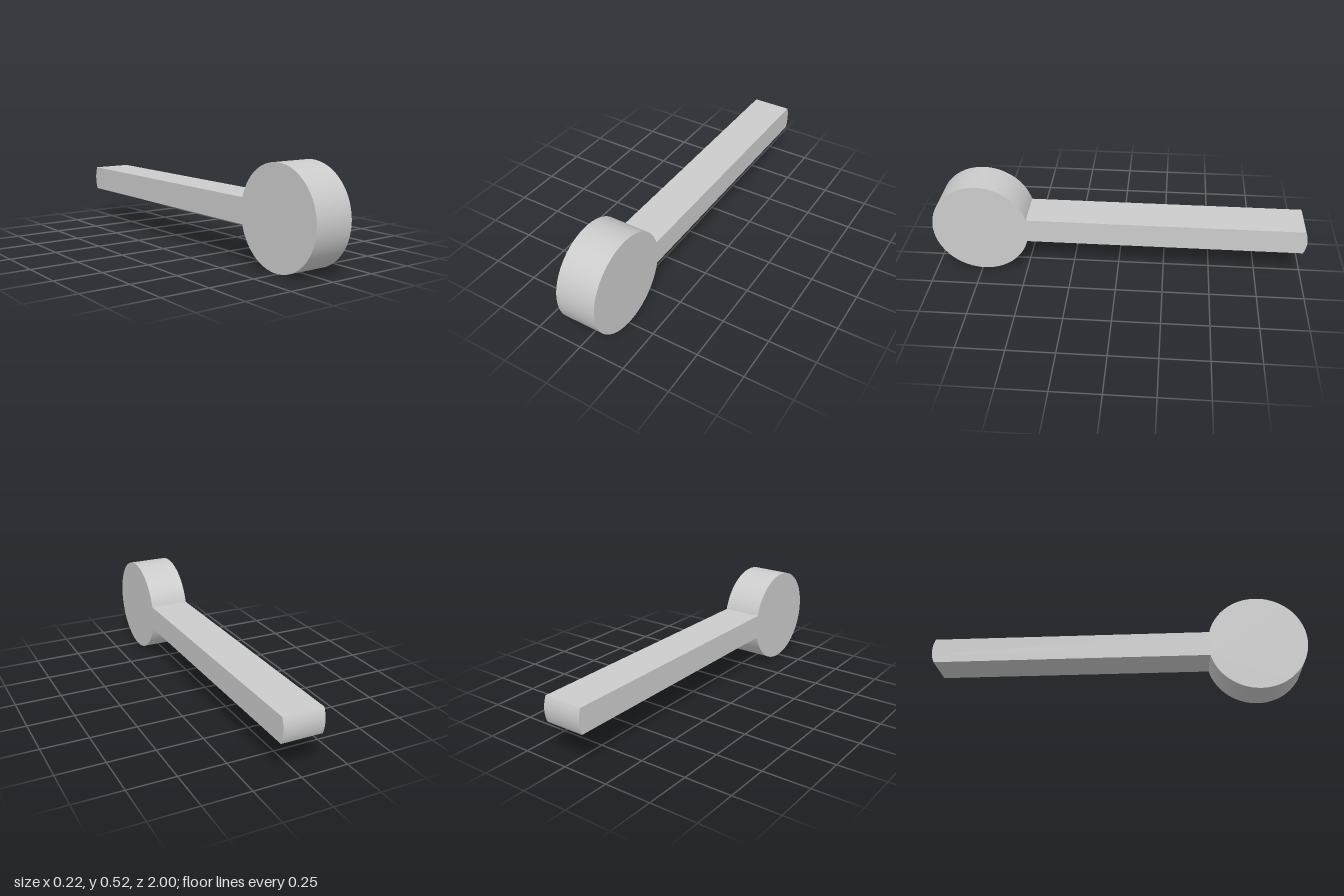
import * as THREE from 'three';
import { toCreasedNormals } from 'three/addons/utils/BufferGeometryUtils.js';

export function createModel() {
  const group = new THREE.Group();
  group.name = 'discWithHandle';

  const width = 0.216;
  const discR = 0.26, discZ = 0.74, midY = 0.26;
  const half = 0.067;   // half the handle's height
  const endR = 0.157;   // radius of the bulged handle end
  const a = Math.asin(half / discR);
  const b = Math.asin(half / endR);

  // side outline (shape x becomes z): round head, straight handle, bulged end
  const outline = new THREE.Shape();
  outline.absarc(discZ, midY, discR, -Math.PI + a, Math.PI - a, false);
  outline.absarc(-1 + endR, midY, endR, Math.PI - b, Math.PI + b, false);
  outline.closePath();

  const extruded = new THREE.ExtrudeGeometry(outline, {
    depth: width, bevelEnabled: false, curveSegments: 48,
  });
  extruded.translate(0, 0, -width / 2);
  extruded.rotateY(-Math.PI / 2);

  const body = new THREE.Mesh(
    toCreasedNormals(extruded, Math.PI / 6),
    new THREE.MeshStandardMaterial({ color: 0xcccccc })
  );
  body.name = 'headAndHandle';
  group.add(body);
  return group;
}
